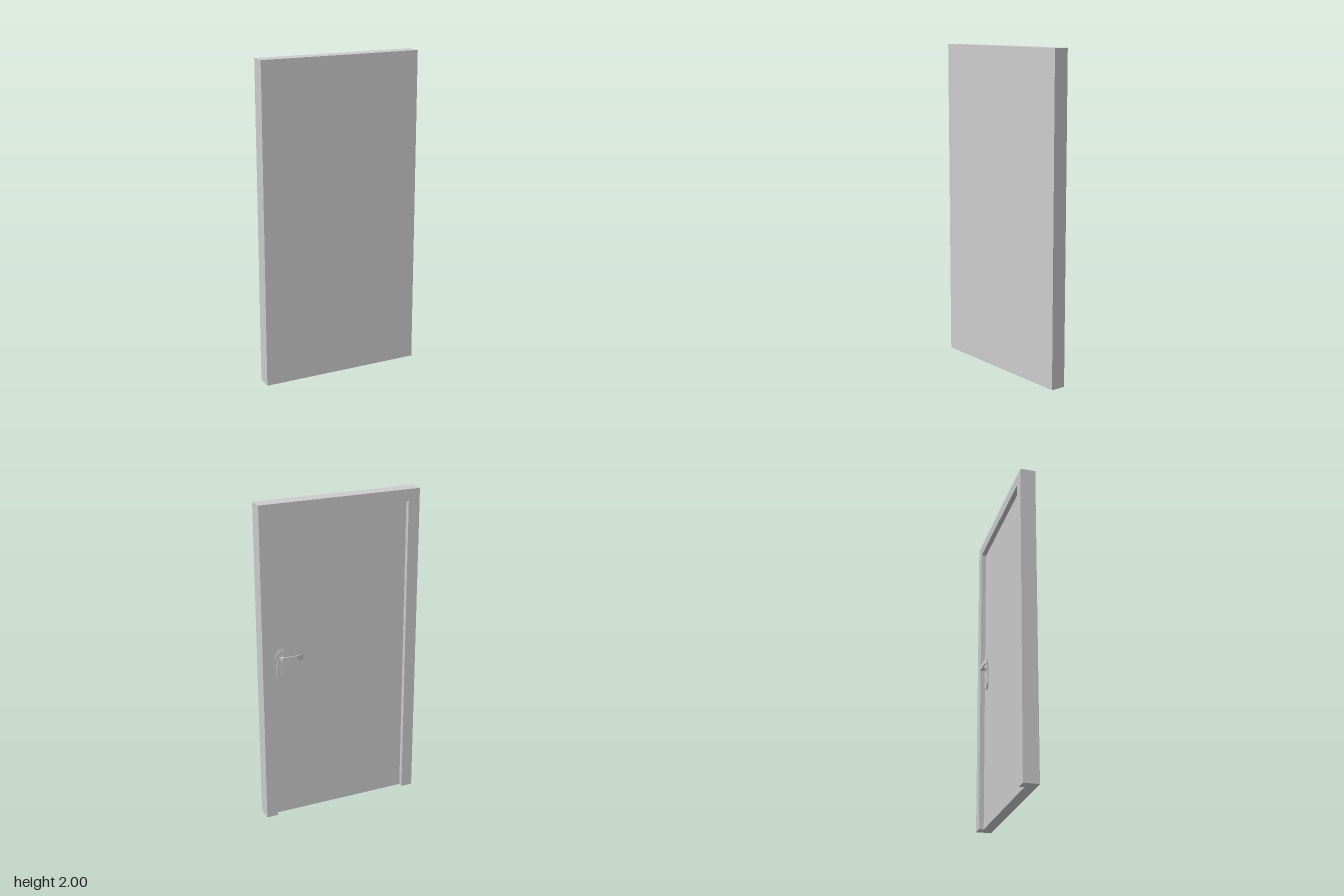
import * as THREE from 'three';

const W = 0.513, H = 2, FRONT = 0.055, BACK = -0.04, PANEL = -0.01, JAMB = 0.073;

export function createModel() {
  const model = new THREE.Group();
  const mat = new THREE.MeshStandardMaterial({ color: 0xcccccc });
  const add = (name, geo, x = 0, y = 0, z = 0, parent = model) => {
    const mesh = new THREE.Mesh(geo, mat);
    mesh.name = name;
    mesh.position.set(x, y, z);
    parent.add(mesh);
    return mesh;
  };
  const extrude = (shape, depth) =>
    new THREE.ExtrudeGeometry(shape, { depth, bevelEnabled: false, curveSegments: 16 });
  const poly = (pts) => new THREE.Shape(pts.map(([x, y]) => new THREE.Vector2(x, y)));

  // Frame: two jambs and a header, open at the floor
  const inner = W - JAMB;
  add('doorFrame', extrude(poly([
    [-W, 0], [-inner, 0], [-inner, H - JAMB], [inner, H - JAMB],
    [inner, 0], [W, 0], [W, H], [-W, H],
  ]), FRONT - BACK), 0, 0, BACK);

  // Door leaf, flush at the front and recessed at the back
  add('doorPanel', new THREE.BoxGeometry(2 * inner, H - JAMB, FRONT - PANEL),
    0, (H - JAMB) / 2, (FRONT + PANEL) / 2);

  // Handle set on the recessed side
  const handle = new THREE.Group();
  handle.name = 'handleSet';
  handle.position.set(0.382, 1.05, PANEL);
  model.add(handle);

  // Rounded plates standing proud of the leaf
  const capsule = (r, top, bottom) => {
    const s = new THREE.Shape();
    s.absarc(0, top - r, r, 0, Math.PI, false);
    s.absarc(0, bottom + r, r, Math.PI, 2 * Math.PI, false);
    s.closePath();
    return s;
  };
  add('backPlate', extrude(capsule(0.037, 0.055, -0.147), 0.007), 0, 0, -0.007, handle);
  add('raisedPlate', extrude(capsule(0.028, 0.046, -0.138), 0.003), 0, 0, -0.01, handle);

  // Round parts pointing away from the leaf
  const disc = (name, r, depth, y, z) => {
    const geo = new THREE.CylinderGeometry(r, r, depth, 24).rotateX(Math.PI / 2);
    return add(name, geo, 0, y, z - depth / 2, handle);
  };
  disc('rosette', 0.021, 0.004, 0, -0.01);
  disc('handleNeck', 0.0135, 0.03, 0, -0.01);
  disc('lockCylinder', 0.011, 0.004, -0.075, -0.01);
  add('lockBody', new THREE.BoxGeometry(0.011, 0.024, 0.004), 0, -0.092, -0.012, handle);
  add('keySlot', new THREE.BoxGeometry(0.003, 0.011, 0.002), 0, -0.075, -0.015, handle);

  // Lever: straight bar whose tip curves back toward the leaf
  const lever = new THREE.Shape();
  lever.moveTo(0.014, -0.045);
  lever.lineTo(-0.08, -0.045);
  lever.quadraticCurveTo(-0.108, -0.043, -0.126, -0.033);
  lever.lineTo(-0.126, -0.028);
  lever.quadraticCurveTo(-0.105, -0.037, -0.08, -0.038);
  lever.lineTo(0.014, -0.038);
  lever.closePath();
  add('lever', extrude(lever, 0.032).rotateX(Math.PI / 2), 0, 0.016, 0, handle);

  return model;
}
